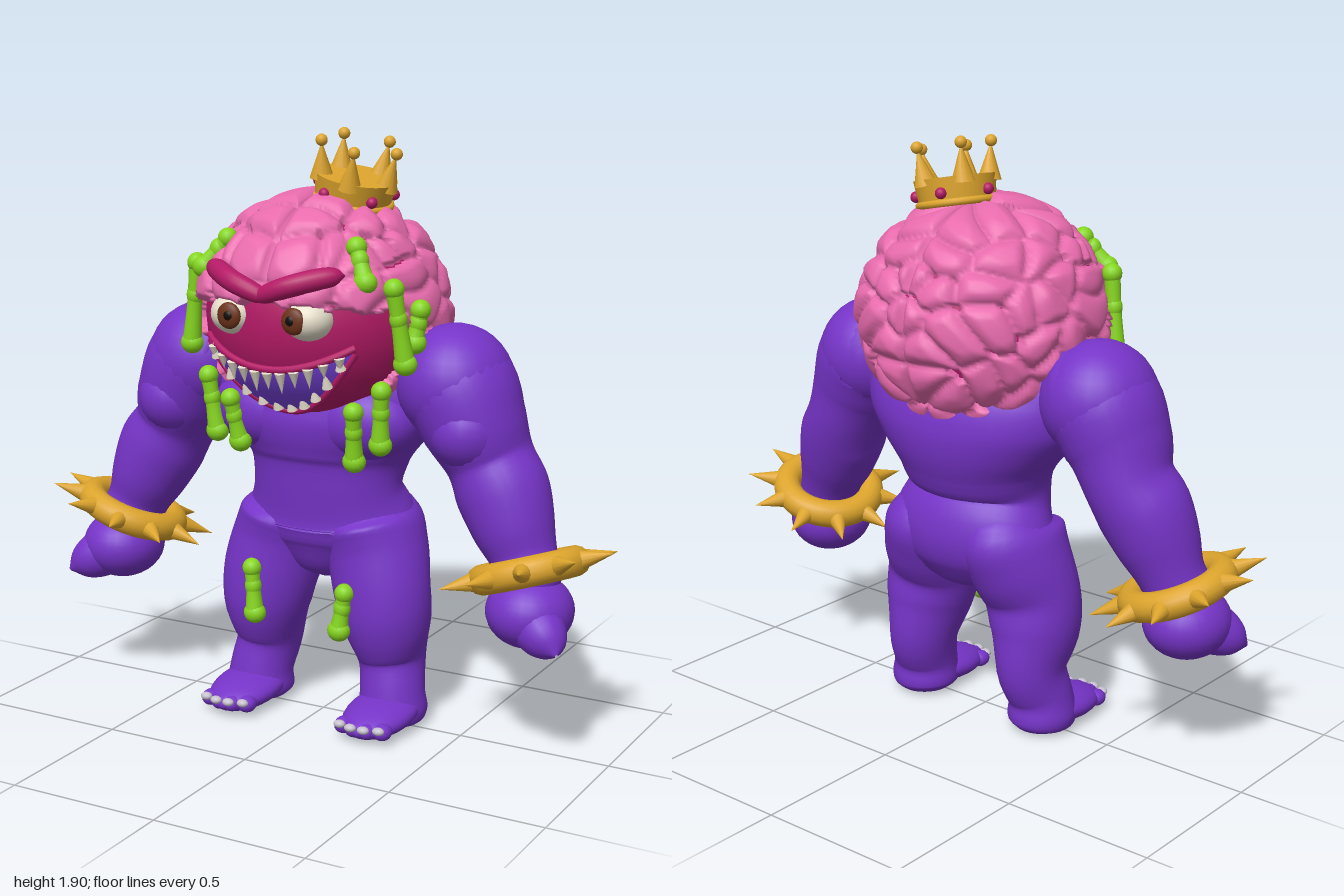
import * as THREE from 'three';
import { mergeVertices } from 'three/addons/utils/BufferGeometryUtils.js';

const mat = (name, color) => {
  const m = new THREE.MeshStandardMaterial({ color });
  m.name = name;
  return m;
};
const V = (x, y, z) => new THREE.Vector3(x, y, z);
const UP = V(0, 1, 0);
const HEAD = { y: 1.345, r: 0.372, sy: 0.93 };

// Depth of the face surface at a given x, y
const faceZ = (x, y, off) =>
  Math.sqrt(Math.max(0, (HEAD.r + off) ** 2 - x * x - ((y - HEAD.y) / HEAD.sy) ** 2));

// Smooth tube through sections [x, y, z, radiusSide, radiusDepth]
function loft(sections, steps = 5, sides = 28) {
  const centre = new THREE.CatmullRomCurve3(sections.map(s => V(s[0], s[1], s[2])), false, 'catmullrom');
  const radius = new THREE.CatmullRomCurve3(sections.map(s => V(s[3], s[4] ?? s[3], 0)), false, 'catmullrom');
  const n = (sections.length - 1) * steps, pos = [], index = [];
  for (let i = 0; i <= n; i++) {
    const c = centre.getPoint(i / n), r = radius.getPoint(i / n), t = centre.getTangent(i / n);
    const side = t.clone().cross(V(0, 0, 1)).normalize(), depth = side.clone().cross(t);
    for (let j = 0; j < sides; j++) {
      const a = j / sides * Math.PI * 2;
      const p = c.clone().addScaledVector(side, Math.max(0.001, r.x) * Math.cos(a))
        .addScaledVector(depth, Math.max(0.001, r.y) * Math.sin(a));
      pos.push(p.x, p.y, p.z);
      if (i < n) {
        const k = i * sides + j, l = i * sides + (j + 1) % sides;
        index.push(k, k + sides, l, l, k + sides, l + sides);
      }
    }
  }
  const g = new THREE.BufferGeometry();
  g.setAttribute('position', new THREE.Float32BufferAttribute(pos, 3));
  g.setIndex(index);
  g.computeVertexNormals();
  return g;
}

// Brain: mirrored cells swell outward, with grooves between and a hollow for the face
function brainGeometry() {
  let seed = 7;
  const rnd = () => (seed = (seed * 16807) % 2147483647) / 2147483647;
  const cells = [];
  for (let i = 0; i < 125; i++) {
    const y = 1 - 2 * (i + 0.5) / 125, a = i * 2.39996, q = Math.sqrt(1 - y * y);
    const p = V(q * Math.cos(a) + (rnd() - 0.5) * 0.25, y + (rnd() - 0.5) * 0.25, q * Math.sin(a) + (rnd() - 0.5) * 0.25);
    if (p.x > 0.05) cells.push(p.normalize());
  }
  let g = new THREE.SphereGeometry(1, 200, 130);
  g.deleteAttribute('uv');
  g.deleteAttribute('normal');
  g = mergeVertices(g, 1e-5);
  const P = g.attributes.position, v = V(), q = V();
  for (let i = 0; i < P.count; i++) {
    v.fromBufferAttribute(P, i).normalize();
    q.set(Math.abs(v.x) + 0.06 * Math.sin(7 * v.y), v.y + 0.06 * Math.sin(8 * v.z), v.z + 0.06 * Math.sin(7 * Math.abs(v.x)));
    let f1 = 9, f2 = 9, f3 = 9, near = 0;
    cells.forEach((c, k) => {
      const d = c.distanceTo(q);
      if (d < f1) { f3 = f2; f2 = f1; f1 = d; near = k; } else if (d < f2) { f3 = f2; f2 = d; } else if (d < f3) f3 = d;
    });
    const edge = Math.min(f2 - f1, Math.abs(v.x) * 2.5);
    let r = 0.38 + 0.034 * Math.sqrt(Math.min(1, edge / 0.17));
    if (near % 4 === 0 && f3 - f1 < 0.055) r = 0.36;
    const brow = 0.2 + 0.02 * Math.sin(23 * Math.abs(v.x)) - 0.1 * Math.abs(v.x);
    if (v.z > 0.36 + 0.04 * Math.sin(20 * v.y) && v.y < brow) r = 0.34;
    P.setXYZ(i, v.x * r, v.y * r * HEAD.sy, v.z * r);
  }
  g.computeVertexNormals();
  return g;
}

export function createModel() {
  const root = new THREE.Group();
  root.name = 'brainMonster';
  const purple = mat('purple skin', 0x7634c8), pink = mat('brain pink', 0xe86bad), magenta = mat('magenta flesh', 0xb41a66),
    gold = mat('gold', 0xdca42c), green = mat('slime green', 0x86d61f), ivory = mat('ivory', 0xeee6d2),
    brown = mat('iris brown', 0x6b3219), black = mat('pupil black', 0x120c0c), nail = mat('nail grey', 0xc6c0ce),
    mouthMat = mat('mouth violet', 0x7a44e0);
  mouthMat.side = THREE.DoubleSide;
  const add = (name, geo, m, p = [0, 0, 0], parent = root) => {
    const mesh = new THREE.Mesh(geo, m);
    mesh.name = name;
    mesh.position.set(...p);
    parent.add(mesh);
    return mesh;
  };
  const ball = (name, m, p, rx, ry = rx, rz = rx, parent = root) => {
    const mesh = add(name, new THREE.SphereGeometry(1, rx > 0.06 ? 28 : 16, rx > 0.06 ? 18 : 10), m, p, parent);
    mesh.scale.set(rx, ry, rz);
    return mesh;
  };
  const cone = (name, m, base, dir, r, h, parent = root) => {
    const d = dir.clone().normalize();
    const mesh = add(name, new THREE.ConeGeometry(r, h, 12), m, base.clone().addScaledVector(d, h / 2).toArray(), parent);
    mesh.quaternion.setFromUnitVectors(UP, d);
  };

  // Torso
  add('torso', loft([[0, 0.46, -0.02, 0.01, 0.01], [0, 0.5, -0.025, 0.13, 0.11], [0, 0.58, -0.045, 0.26, 0.175],
    [0, 0.67, -0.055, 0.293, 0.2], [0, 0.78, -0.03, 0.255, 0.178], [0, 0.87, -0.04, 0.272, 0.21],
    [0, 0.95, -0.045, 0.335, 0.235], [0, 1.03, -0.045, 0.395, 0.24], [0, 1.12, -0.04, 0.42, 0.215], [0, 1.2, -0.04, 0.41, 0.17],
    [0, 1.28, -0.03, 0.3, 0.11], [0, 1.32, -0.03, 0.01, 0.01]], 5, 44), purple);

  for (const s of [1, -1]) {
    ball('pectoral', purple, [s * 0.17, 1.02, 0.06], 0.19, 0.13, 0.13);

    // Leg and foot
    add('leg', loft([[s * 0.14, 0.78, -0.04, 0.06], [s * 0.15, 0.68, -0.055, 0.142, 0.185], [s * 0.175, 0.58, -0.045, 0.16, 0.178],
      [s * 0.205, 0.46, -0.015, 0.16, 0.15], [s * 0.223, 0.35, -0.02, 0.145, 0.148], [s * 0.23, 0.22, -0.045, 0.108, 0.125],
      [s * 0.245, 0.12, -0.02, 0.105, 0.107], [s * 0.25, 0.05, -0.015, 0.112, 0.112], [s * 0.25, 0.016, -0.015, 0.085, 0.09],
      [s * 0.25, 0.01, -0.015, 0.01]]), purple);
    const foot = ball('foot', purple, [s * 0.25, 0.063, 0.065], 0.112, 0.053, 0.175);
    foot.rotation.x = 0.1;
    for (let i = 0; i < 4; i++) {
      const x = s * (0.18 + i * 0.046), z = i === 0 || i === 3 ? 0.19 : 0.205;
      ball('toe', purple, [x, 0.05, z], 0.03, 0.027, 0.035);
      ball('toenail', nail, [x, 0.062, z + 0.03], 0.02, 0.013, 0.016);
    }

    // Arm and hand
    add('arm', loft([[s * 0.28, 1.1, -0.03, 0.02], [s * 0.37, 1.13, -0.025, 0.16], [s * 0.46, 1.14, -0.015, 0.18, 0.187],
      [s * 0.525, 1.03, -0.01, 0.162, 0.175], [s * 0.575, 0.92, -0.02, 0.136, 0.15], [s * 0.625, 0.83, -0.005, 0.146, 0.145],
      [s * 0.67, 0.73, 0.01, 0.13, 0.13], [s * 0.71, 0.64, 0.02, 0.105], [s * 0.74, 0.56, 0.04, 0.1], [s * 0.76, 0.48, 0.05, 0.03]]), purple);
    ball('shoulder', purple, [s * 0.455, 1.15, -0.015], 0.183, 0.184, 0.19);
    ball('bicep', purple, [s * 0.53, 1.02, 0.0], 0.135, 0.14, 0.18);
    ball('fist', purple, [s * 0.75, 0.485, 0.055], 0.135, 0.115, 0.145);
    add('finger', loft([[s * 0.74, 0.49, 0.07, 0.08], [s * 0.81, 0.45, 0.12, 0.08], [s * 0.86, 0.42, 0.155, 0.055],
      [s * 0.89, 0.4, 0.18, 0.005]], 5, 20), purple);

    // Spiked bracelet
    const cuff = new THREE.Group();
    cuff.name = 'spikedBracelet';
    cuff.position.set(s * 0.73, 0.6, 0.025);
    cuff.quaternion.setFromUnitVectors(UP, V(-s * 0.34, 1, -0.16).normalize());
    root.add(cuff);
    const band = add('band', new THREE.TorusGeometry(0.145, 0.047, 14, 40), gold, [0, 0, 0], cuff);
    band.rotation.x = Math.PI / 2;
    for (let i = 0; i < 10; i++) {
      const a = i * Math.PI / 5, d = V(Math.cos(a), 0, Math.sin(a));
      cone('bandSpike', gold, d.clone().multiplyScalar(0.175), d, 0.031, 0.11, cuff);
    }

    // Eye and brow
    ball('eyeball', ivory, [s * 0.128, 1.368, 0.318], 0.077, 0.065, 0.077);
    ball('iris', brown, [s * 0.112, 1.37, 0.384], 0.041, 0.041, 0.018);
    ball('pupil', black, [s * 0.108, 1.372, 0.397], 0.016, 0.016, 0.008);
    add('brow', loft([[-s * 0.012, 1.435, 0.38, 0.003], [s * 0.005, 1.44, 0.382, 0.026], [s * 0.1, 1.474, 0.378, 0.033],
      [s * 0.2, 1.5, 0.315, 0.03], [s * 0.23, 1.502, 0.285, 0.003]], 5, 16), magenta);
  }

  // Head
  ball('face', magenta, [0, HEAD.y, 0], HEAD.r, HEAD.r * HEAD.sy, HEAD.r);
  add('brain', brainGeometry(), pink, [0, HEAD.y, 0]);

  // Mouth, lips and teeth
  const topY = u => 1.2 + 0.075 * u * u, lowY = u => 1.065 + 0.21 * u * u;
  const mouth = new THREE.PlaneGeometry(1, 1, 40, 10), M = mouth.attributes.position;
  for (let i = 0; i < M.count; i++) {
    const u = M.getX(i) * 2, k = M.getY(i) + 0.5, x = 0.255 * u, y = lowY(u) + (topY(u) - lowY(u)) * k;
    M.setXYZ(i, x, y, faceZ(x, y, 0.008));
  }
  mouth.computeVertexNormals();
  add('mouth', mouth, mouthMat);
  for (const [edge, dir, count] of [[topY, -1, 11], [lowY, 1, 10]]) {
    const path = [];
    for (let i = 0; i <= 16; i++) {
      const u = i / 8 - 1, x = 0.255 * u, y = edge(u) - dir * 0.008;
      path.push(V(x, y, faceZ(x, y, 0.002)));
    }
    add('lip', new THREE.TubeGeometry(new THREE.CatmullRomCurve3(path), 40, 0.012, 10), magenta);
    for (let i = 0; i < count; i++) {
      const u = ((i + 0.5) / count * 2 - 1) * 0.95, x = 0.255 * u, y = edge(u);
      const h = (0.07 - 0.025 * u * u) * (i % 2 ? 0.8 : 1);
      cone('tooth', ivory, V(x, y, faceZ(x, y, 0.012)), V(0, dir, dir > 0 ? 0.4 : -0.2), 0.017, h);
    }
  }

  // Crown
  const crown = new THREE.Group();
  crown.name = 'crown';
  crown.position.set(0.085, 1.69, -0.033);
  crown.rotation.set(0.08, 0, -0.21);
  root.add(crown);
  add('crownBand', new THREE.CylinderGeometry(0.13, 0.118, 0.085, 40), gold, [0, 0.035, 0], crown);
  const rim = add('crownRim', new THREE.TorusGeometry(0.12, 0.012, 10, 40), gold, [0, 0, 0], crown);
  rim.rotation.x = Math.PI / 2;
  for (let i = 0; i < 5; i++) {
    const a = i * Math.PI * 0.4, d = V(Math.cos(a), 0, Math.sin(a)), b = a + Math.PI / 5;
    cone('crownPoint', gold, V(d.x * 0.106, 0.06, d.z * 0.106), V(d.x * 0.15, 1, d.z * 0.15), 0.038, 0.115, crown);
    ball('crownBall', gold, [d.x * 0.124, 0.177, d.z * 0.124], 0.019, 0.019, 0.019, crown);
    ball('jewel', magenta, [Math.cos(b) * 0.127, 0.03, Math.sin(b) * 0.127], 0.018, 0.018, 0.018, crown);
  }

  // Slime drips: [start, end]
  const drips = [
    [[-0.215, 1.58, 0.22], [-0.285, 1.49, 0.25]], [[-0.355, 1.49, 0.18], [-0.385, 1.23, 0.17]],
    [[-0.325, 1.13, 0.17], [-0.3, 0.95, 0.16]], [[-0.225, 1.07, 0.2], [-0.205, 0.93, 0.175]],
    [[0.235, 1.58, 0.22], [0.28, 1.48, 0.25]], [[0.35, 1.46, 0.2], [0.375, 1.23, 0.17]],
    [[0.4, 1.39, 0.12], [0.385, 1.29, 0.13]], [[0.3, 1.14, 0.18], [0.29, 0.97, 0.165]],
    [[0.215, 1.07, 0.2], [0.205, 0.91, 0.175]], [[-0.19, 0.5, 0.135], [-0.178, 0.35, 0.14]],
    [[0.15, 0.465, 0.135], [0.133, 0.34, 0.14]]];
  for (const [p, q] of drips) {
    const at = t => p.map((c, i) => c + (q[i] - c) * t);
    ball('slimeTop', green, p, 0.032);
    ball('slimeDrop', green, q, 0.038, 0.035, 0.033);
    ball('slimeBead', green, at(0.4), 0.028, 0.035, 0.027);
    add('slimeStrand', loft([[...p, 0.026], [...at(0.5), 0.024], [...q, 0.031]], 5, 14), green);
  }
  return root;
}
